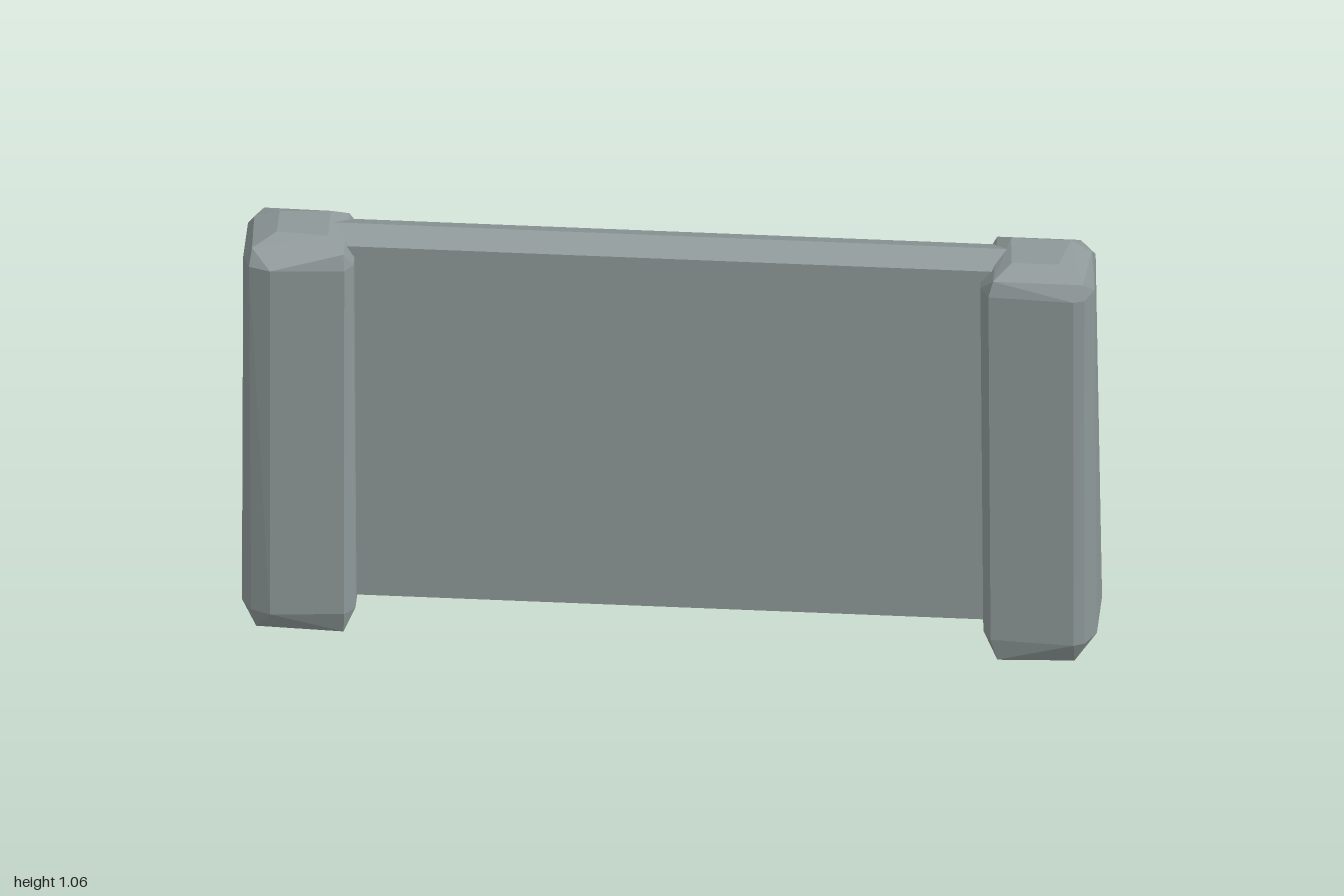
import * as THREE from 'three';
import { ConvexGeometry } from 'three/addons/geometries/ConvexGeometry.js';

const material = new THREE.MeshStandardMaterial({ color: 0x8e9898, flatShading: true });

// Chipped stone post: the convex hull of a few uneven [x, z] outlines stacked by height
function makePost(name, rings) {
  const points = rings.flatMap(([y, outline]) => outline.map(([x, z]) => new THREE.Vector3(x, y, z)));
  const post = new THREE.Mesh(new ConvexGeometry(points), material);
  post.name = name;
  return post;
}

// Slab with a low ridge along its top and bottom edges
function makePanel() {
  const length = 1.6;
  const profile = new THREE.Shape([
    [0.045, 0.075], [0.045, 1.03], [-0.018, 1.055],
    [-0.077, 1.03], [-0.077, 0.075], [-0.018, 0.05],
  ].map(([z, y]) => new THREE.Vector2(-z, y)));
  const geometry = new THREE.ExtrudeGeometry(profile, { depth: length, bevelEnabled: false });
  geometry.translate(0, 0, -length / 2).rotateY(Math.PI / 2);
  const panel = new THREE.Mesh(geometry, material);
  panel.name = 'panel';
  return panel;
}

export function createModel() {
  const model = new THREE.Group();
  model.name = 'barrier';

  model.add(makePanel());

  model.add(makePost('leftPost', [
    [0, [[0.96, -0.06], [0.95, 0.09], [0.77, 0.1], [0.77, -0.06]]],
    [0.02, [[0.96, -0.1], [0.77, -0.095]]],
    [0.06, [[0.975, -0.122], [1, -0.1], [1, 0.06], [0.975, 0.11], [0.95, 0.122],
      [0.755, 0.11], [0.735, 0.07], [0.735, -0.08], [0.76, -0.115]]],
    [1, [[0.965, -0.122], [0.985, -0.1], [0.995, 0.06], [0.975, 0.11], [0.95, 0.12],
      [0.75, 0.11], [0.728, 0.07], [0.728, -0.07], [0.75, -0.115]]],
    [1.037, [[0.98, -0.05], [0.97, 0.1], [0.76, 0.1], [0.755, -0.1], [0.95, -0.1]]],
    [1.06, [[0.93, -0.06], [0.91, 0.05], [0.8, 0.05], [0.79, -0.06]]],
  ]));

  model.add(makePost('rightPost', [
    [0, [[-0.965, -0.06], [-0.965, 0.08], [-0.76, 0.09], [-0.77, -0.06]]],
    [0.02, [[-0.96, -0.1], [-0.77, -0.1]]],
    [0.06, [[-0.97, -0.115], [-1, -0.09], [-1, 0.06], [-0.975, 0.105], [-0.93, 0.124],
      [-0.757, 0.11], [-0.733, 0.08], [-0.733, -0.1], [-0.775, -0.124]]],
    [1, [[-0.97, -0.115], [-0.997, -0.09], [-0.997, 0.06], [-0.98, 0.105], [-0.93, 0.122],
      [-0.757, 0.108], [-0.738, 0.08], [-0.738, -0.1], [-0.78, -0.125]]],
    [1.037, [[-0.98, -0.06], [-0.975, 0.08], [-0.76, 0.095], [-0.76, -0.09], [-0.96, -0.1]]],
    [1.06, [[-0.92, -0.05], [-0.92, 0.04], [-0.8, 0.05], [-0.8, -0.06]]],
  ]));

  return model;
}
